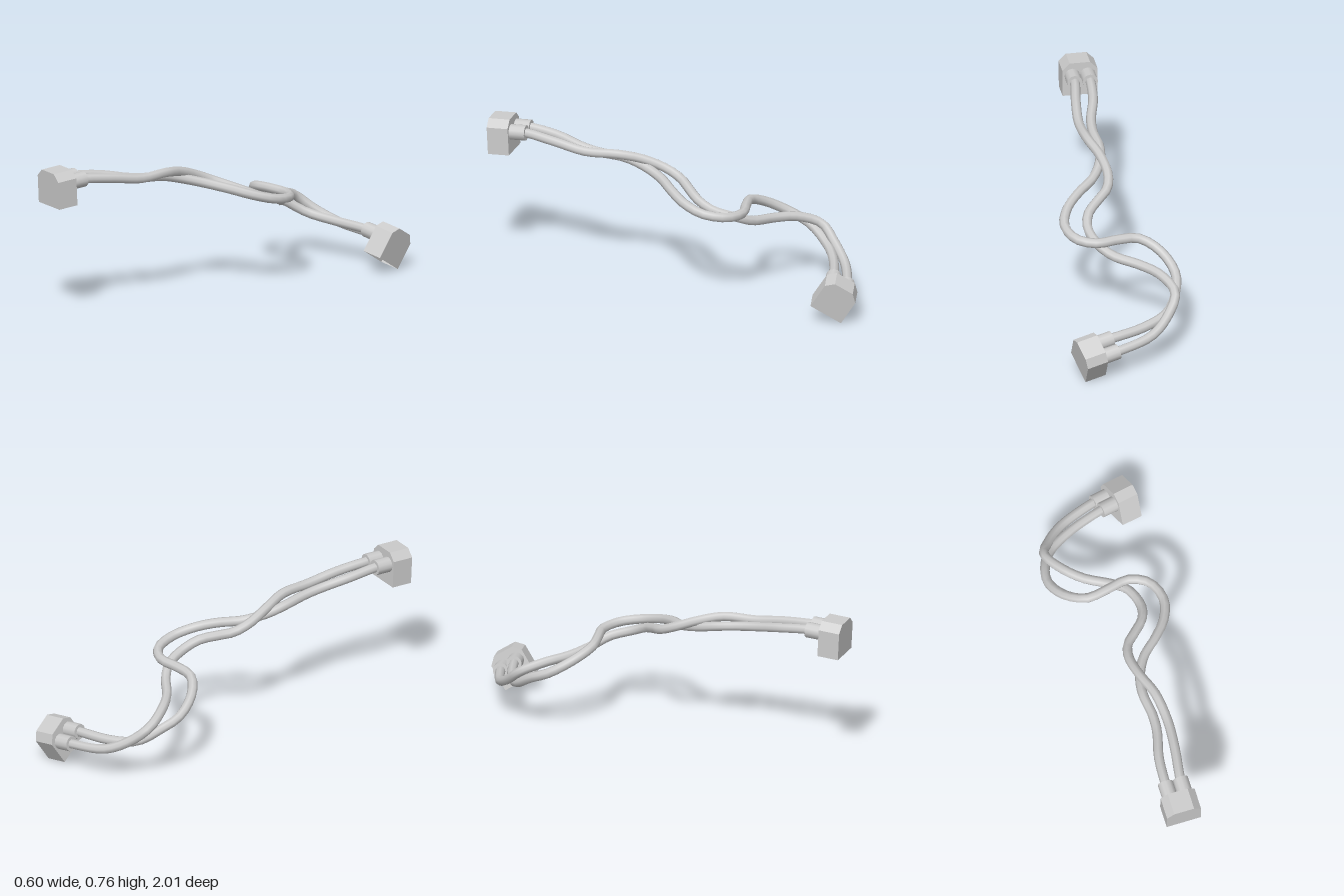
import * as THREE from 'three';

const material = new THREE.MeshStandardMaterial({ color: 0xcccccc, side: THREE.DoubleSide });
const SIZE = 0.177, DEPTH = 0.11, CHAMFER = 0.037;
const COLLAR_X = 0.039, COLLAR_Y = 0.02, COLLAR_R = 0.039, COLLAR_LEN = 0.08;
const CABLE_R = 0.0245;

function addMesh(parent, geometry, name) {
  const mesh = new THREE.Mesh(geometry, material);
  mesh.name = name;
  parent.add(mesh);
  return mesh;
}

// Plug body: square block with two chamfered top corners and an open underside
function housingGeometry() {
  const h = SIZE / 2, c = h - CHAMFER;
  const shape = new THREE.Shape([
    [-h, -h], [h, -h], [h, c], [c, h], [-c, h], [-h, c],
  ].map(([x, y]) => new THREE.Vector2(x, y)));
  const solid = new THREE.ExtrudeGeometry(shape, { depth: DEPTH, bevelEnabled: false });
  solid.translate(0, 0, -DEPTH / 2);

  // keep every triangle except those lying in the bottom plane
  const p = solid.attributes.position, kept = [];
  for (let i = 0; i < p.count; i += 3) {
    const corners = [i, i + 1, i + 2];
    if (corners.every((k) => p.getY(k) < -h + 1e-4)) continue;
    for (const k of corners) kept.push(p.getX(k), p.getY(k), p.getZ(k));
  }
  const shell = new THREE.BufferGeometry();
  shell.setAttribute('position', new THREE.Float32BufferAttribute(kept, 3));
  shell.computeVertexNormals();
  return shell;
}

// Connector: local +z is the mating face, the cables leave through -z
function createConnector(name, position, up, facing) {
  const z = facing.clone().normalize();
  const x = up.clone().cross(z).normalize();
  const y = z.clone().cross(x);
  const group = new THREE.Group();
  group.name = name;
  group.quaternion.setFromRotationMatrix(new THREE.Matrix4().makeBasis(x, y, z));
  group.position.copy(position);

  addMesh(group, housingGeometry(), 'housing');
  for (const side of [-1, 1]) {
    const collar = addMesh(group,
      new THREE.CylinderGeometry(COLLAR_R, COLLAR_R, COLLAR_LEN, 12), 'cableCollar');
    collar.rotation.x = Math.PI / 2;
    collar.position.set(side * COLLAR_X, COLLAR_Y, -(DEPTH + COLLAR_LEN) / 2);
  }
  group.updateMatrixWorld(true);
  return group;
}

// Cable: smooth tube from collar to collar through the given points
function createCable(parent, name, side, start, end, points) {
  const anchor = (connector, z) =>
    new THREE.Vector3(side * COLLAR_X, COLLAR_Y, z).applyMatrix4(connector.matrixWorld);
  const inside = -DEPTH / 2 - COLLAR_LEN * 0.5, mouth = -DEPTH / 2 - COLLAR_LEN;
  const curve = new THREE.CatmullRomCurve3([
    anchor(start, inside), anchor(start, mouth),
    ...points.map((p) => new THREE.Vector3(...p)),
    anchor(end, mouth), anchor(end, inside),
  ]);
  addMesh(parent, new THREE.TubeGeometry(curve, 56, CABLE_R, 8), name);
}

export function createModel() {
  const model = new THREE.Group();
  model.name = 'twinCable';

  const front = createConnector('frontConnector',
    new THREE.Vector3(-0.033, 0.682, 0.94),
    new THREE.Vector3(0, 1, 0.05), new THREE.Vector3(0, -0.05, 1));
  const back = createConnector('backConnector',
    new THREE.Vector3(0.225, 0.1385, -0.894),
    new THREE.Vector3(0, 0.84, -0.54), new THREE.Vector3(0.966, -0.155, -0.23));
  model.add(front, back);

  // Cable with the wide loop
  createCable(model, 'outerCable', -1, front, back, [
    [-0.06, 0.69, 0.66], [-0.025, 0.66, 0.52], [-0.018, 0.645, 0.42],
    [-0.03, 0.63, 0.3], [-0.015, 0.605, 0.2], [0.04, 0.575, 0.09],
    [0.13, 0.55, 0], [0.2, 0.52, -0.09], [0.233, 0.49, -0.2],
    [0.195, 0.472, -0.31], [0.1, 0.465, -0.36], [-0.02, 0.465, -0.34],
    [-0.12, 0.455, -0.33], [-0.215, 0.41, -0.39], [-0.272, 0.345, -0.5],
    [-0.26, 0.3, -0.6], [-0.2, 0.235, -0.7], [-0.07, 0.208, -0.78],
  ]);

  // Cable with the tight loop
  createCable(model, 'innerCable', 1, front, back, [
    [0.03, 0.69, 0.64], [0.042, 0.665, 0.48], [0.025, 0.665, 0.32],
    [-0.015, 0.64, 0.2], [-0.035, 0.595, 0.08], [-0.015, 0.56, 0],
    [0.04, 0.535, -0.06], [0.1, 0.505, -0.13], [0.118, 0.47, -0.21],
    [0.085, 0.435, -0.32], [0.02, 0.4, -0.385], [-0.1, 0.38, -0.46],
    [-0.19, 0.365, -0.55], [-0.245, 0.32, -0.66], [-0.2, 0.25, -0.74],
    [-0.1, 0.185, -0.83],
  ]);

  return model;
}
